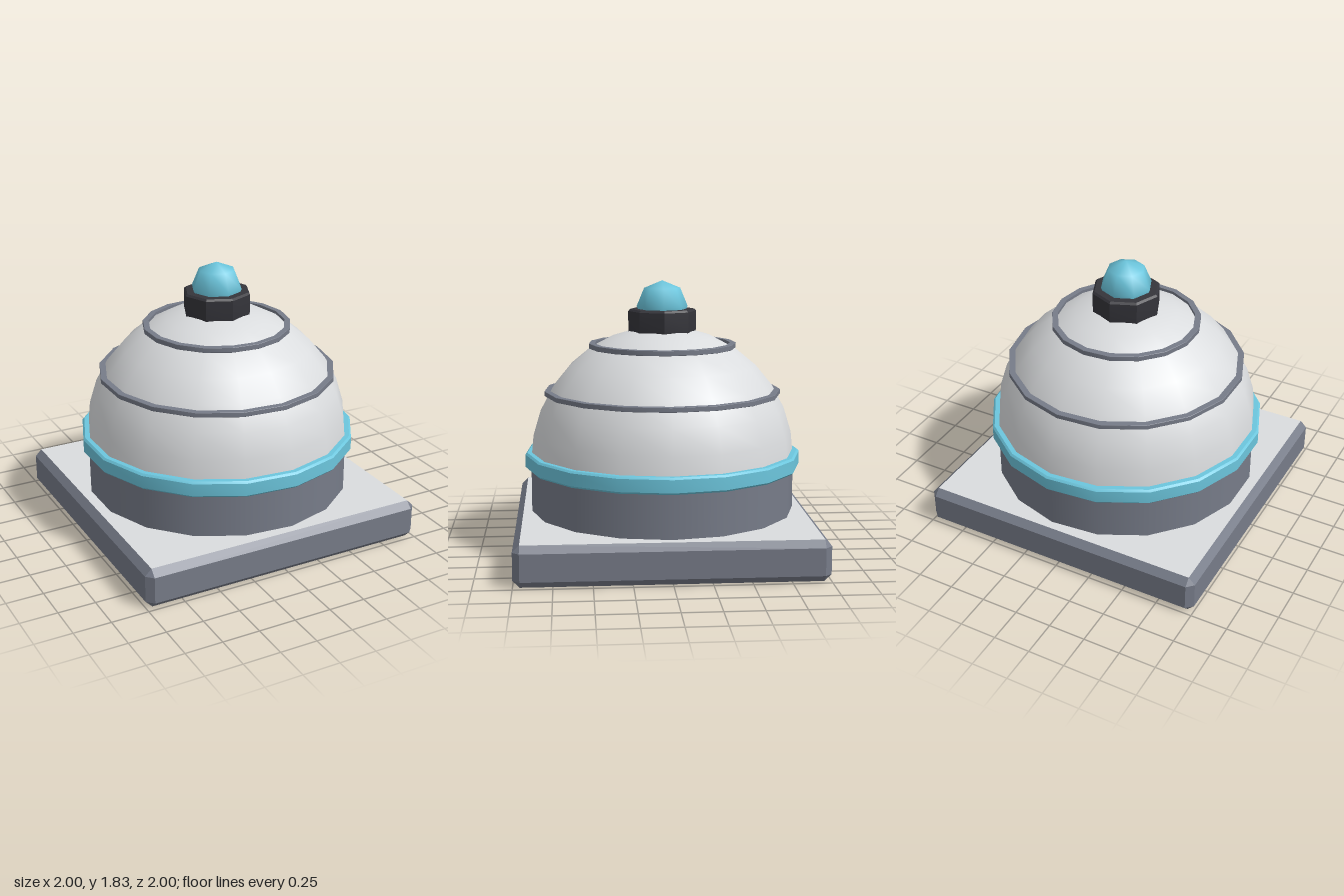
import * as THREE from 'three';
import { toCreasedNormals } from 'three/addons/utils/BufferGeometryUtils.js';
import { ConvexGeometry } from 'three/addons/geometries/ConvexGeometry.js';

const SIDES = 17;

function material(name, color) {
  const m = new THREE.MeshStandardMaterial({ color });
  m.name = name;
  return m;
}

// Lathe turned so that one corner points along +x
function turn(points, sides = SIDES) {
  const profile = points.map(([r, y]) => new THREE.Vector2(r, y));
  return new THREE.LatheGeometry(profile, sides, Math.PI / 2);
}

// Closed band with a chamfered rectangular section
function band(inner, outer, y0, y1, c) {
  return toCreasedNormals(turn([
    [inner, y0], [outer - c, y0], [outer, y0 + c],
    [outer, y1 - c], [outer - c, y1], [inner, y1], [inner, y0],
  ]), 0.5);
}

// Box with every edge chamfered; group 0 is the sides, group 1 the top and bottom
function chamferedSlab(half, height, c) {
  const points = [];
  const h = height / 2;
  for (const x of [-1, 1]) for (const y of [-1, 1]) for (const z of [-1, 1]) {
    for (let axis = 0; axis < 3; axis++) {
      const inset = [c, c, c];
      inset[axis] = 0;
      points.push(new THREE.Vector3(
        x * (half - inset[0]), h + y * (h - inset[1]), z * (half - inset[2])));
    }
  }
  const geometry = new ConvexGeometry(points);
  const normal = geometry.attributes.normal;
  for (let i = 0; i < normal.count; i += 3) {
    geometry.addGroup(i, 3, Math.abs(normal.getY(i)) > 0.95 ? 1 : 0);
  }
  return geometry;
}

export function createModel() {
  const slate = material('slate', 0x777c89);
  const pale = material('pale grey', 0xdadcde);
  const teal = material('teal', 0x6cc6dd);
  const dark = material('charcoal', 0x35353b);

  const model = new THREE.Group();
  model.name = 'domedBeacon';
  const add = (name, geometry, mat) => {
    const mesh = new THREE.Mesh(geometry, mat);
    mesh.name = name;
    model.add(mesh);
    return mesh;
  };

  // Square plinth and round drum
  add('basePlinth', chamferedSlab(1, 0.27, 0.045), [slate, pale]);
  add('drum', turn([[0.9, 0.26], [0.9, 0.62]]), slate);

  // Dome
  const arc = [];
  for (let i = 0; i <= 8; i++) {
    const a = (i / 8) * Math.PI / 2;
    arc.push([i === 8 ? 0 : 0.9 * Math.cos(a), 0.62 + 0.9 * Math.sin(a)]);
  }
  add('dome', turn(arc), pale);

  // Bands around the dome
  add('lowerBand', band(0.87, 0.94, 0.565, 0.675, 0.013), teal);
  add('middleRing', band(0.76, 0.805, 1.06, 1.092, 0.002), slate);
  add('upperRing', band(0.46, 0.5, 1.376, 1.41, 0.002), slate);

  // Octagonal collar and rounded tip
  add('collar', toCreasedNormals(turn([
    [0, 1.45], [0.22, 1.45], [0.23, 1.5], [0.23, 1.625], [0.217, 1.638], [0, 1.638],
  ], 8), 0.5), dark);
  const tip = add('tip', new THREE.SphereGeometry(0.173, 8, 4), teal);
  tip.position.y = 1.657;

  return model;
}
